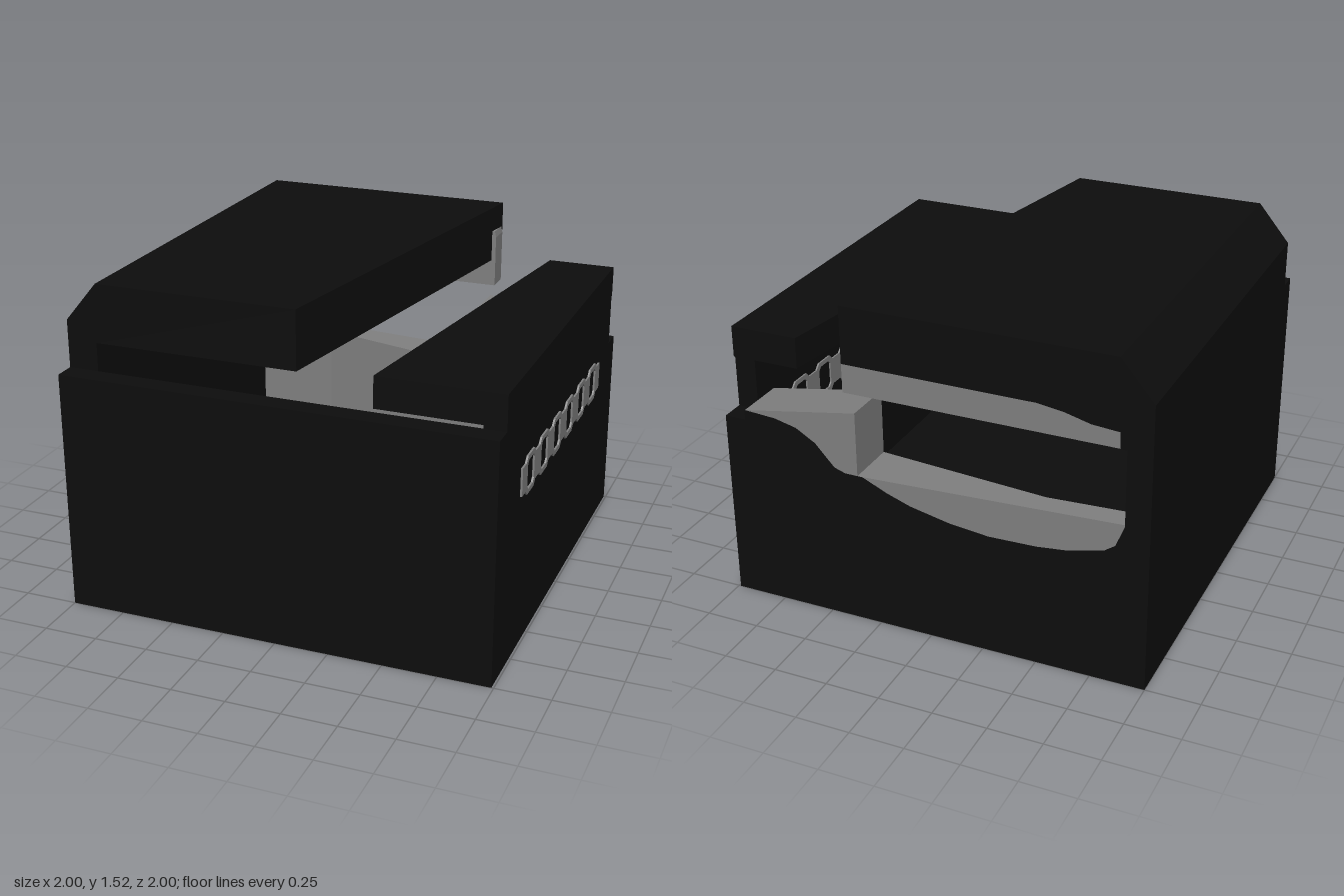
import * as THREE from 'three';

export function createModel() {
  const model = new THREE.Group();
  const black = new THREE.MeshStandardMaterial({ color: 0x0d0d0d });
  black.name = 'black';
  const grey = new THREE.MeshStandardMaterial({ color: 0x808080 });
  grey.name = 'grey';

  const add = (name, geo, mat) => {
    const mesh = new THREE.Mesh(geo, mat);
    mesh.name = name;
    model.add(mesh);
    return mesh;
  };
  // Box given by its limits
  const block = (name, x0, x1, y0, y1, z0, z1, mat = black) => add(name,
    new THREE.BoxGeometry(x1 - x0, y1 - y0, z1 - z0)
      .translate((x0 + x1) / 2, (y0 + y1) / 2, (z0 + z1) / 2), mat);
  const outline = (pts) => new THREE.Shape(pts.map(([x, y]) => new THREE.Vector2(x, y)));
  // Front outline extruded from z0 to z1, with an optional vertex rule
  const slab = (name, pts, z0, z1, mat = black, rule) => {
    const geo = new THREE.ExtrudeGeometry(outline(pts), { depth: z1 - z0, bevelEnabled: false })
      .translate(0, 0, z0);
    if (rule) {
      const p = geo.attributes.position;
      const v = new THREE.Vector3();
      for (let i = 0; i < p.count; i++) {
        rule(v.fromBufferAttribute(p, i));
        p.setXYZ(i, v.x, v.y, v.z);
      }
      geo.computeVertexNormals();
    }
    return add(name, geo, mat);
  };

  // Hollow box body
  block('floor', -1, 0.99, 0, 0.1, -1, 0.9);
  block('frontWall', -1, 0.99, 0, 1.12, 0.9, 1);
  block('rightWall', -1, -0.89, 0.1, 1.12, -1, 0.9);
  block('leftWall', 0.89, 0.99, 0.1, 1.135, -0.89, 0.9);
  block('leftBackCorner', 0.89, 0.99, 0.1, 0.89, -1, -0.89);

  // Raised lid with chamfered side and a slanted inner edge
  const slant = (v) => { if (v.x > 0) v.x = 0.39 - (v.z + 1) * 0.163; };
  slab('lid', [[-1, 1.12], [-0.86, 1.12], [-0.86, 1.25], [0.39, 1.25], [0.39, 1.52],
    [-0.85, 1.52], [-1, 1.34]], -0.89, 0.9, black, slant);
  slab('lidBackEdge', [[-1, 1.12], [-0.86, 1.12], [-0.86, 1.4], [0.39, 1.4], [0.39, 1.52],
    [-0.85, 1.52], [-1, 1.34]], -1, -0.89, black, slant);

  // Lower lid, a slanted plate beside the gap
  const plate = new THREE.ExtrudeGeometry(
    outline([[0.42, -0.9], [0.99, -0.9], [0.99, 0.9], [0.67, 0.9]]),
    { depth: 0.145, bevelEnabled: false });
  add('lowLid', plate.rotateX(-Math.PI / 2).translate(0, 1.135, 0), black);

  // Thick grey back wall below the opening, growing deeper towards the post
  const depthAt = (x) => -0.89 + 0.135 * THREE.MathUtils.clamp((x + 0.5) / 0.84, 0, 1);
  const deepen = (v) => { if (v.z > -0.95) v.z = depthAt(v.x); };
  const sections = [
    [[-0.89, 0.1], [-0.5, 0.1], [-0.5, 0.761], [-0.89, 0.777]],
    [[-0.5, 0.1], [0.34, 0.1], [0.34, 0.727], [-0.5, 0.761]],
    [[0.34, 0.1], [0.89, 0.1], [0.89, 0.935], [0.34, 1.03]],
  ];
  sections.forEach((s, i) => slab('backWall' + (i + 1), s, -0.996, -0.89, grey, deepen));

  // Grey rail above the opening
  slab('upperRail', [[-0.86, 1.12], [0.392, 1.12], [0.392, 1.37], [0.385, 1.4], [-0.86, 1.4]],
    -0.996, -0.888, grey);

  // Black skins on the back with curved edges that leave the grey rims bare
  slab('lowerBackSkin', [[-0.89, 0.1], [0.89, 0.1], [0.89, 0.935], [0.74, 0.925], [0.635, 0.9],
    [0.543, 0.845], [0.452, 0.745], [0.4, 0.728], [0.315, 0.727], [0.2, 0.675], [0.087, 0.635],
    [-0.1, 0.595], [-0.28, 0.575], [-0.5, 0.58], [-0.644, 0.596], [-0.8, 0.635],
    [-0.85, 0.67], [-0.89, 0.77]], -1, -0.996);
  slab('upperBackSkin', [[-0.86, 1.195], [-0.735, 1.205], [-0.62, 1.235], [-0.5, 1.252],
    [0.39, 1.255], [0.39, 1.4], [-0.86, 1.4]], -1, -0.996);

  // Chain of linked rings, as a flat plate on both faces of the left wall
  const centres = Array.from({ length: 6 }, (_, i) => -0.54 + i * 0.215);
  const top = [[-0.67, 0.065]];
  for (const c of centres) {
    top.push([c - 0.075, 0.065], [c - 0.05, 0.09], [c + 0.05, 0.09], [c + 0.075, 0.065]);
  }
  top.push([0.67, 0.065]);
  const chain = outline([...top, ...top.map(([x, y]) => [x, -y]).reverse()]);
  for (const c of centres) {
    const hole = [[-0.052, -0.05], [-0.035, -0.068], [0.035, -0.068], [0.052, -0.05],
      [0.052, 0.05], [0.035, 0.068], [-0.035, 0.068], [-0.052, 0.05]];
    chain.holes.push(new THREE.Path(hole.map(([x, y]) => new THREE.Vector2(c + x, y))));
  }
  for (const [name, x] of [['outerChain', 0.99], ['innerChain', 0.882]]) {
    const geo = new THREE.ExtrudeGeometry(chain, { depth: 0.009, bevelEnabled: false });
    add(name, geo.rotateY(Math.PI / 2).translate(x, 0.8, 0), grey);
  }

  return model;
}
